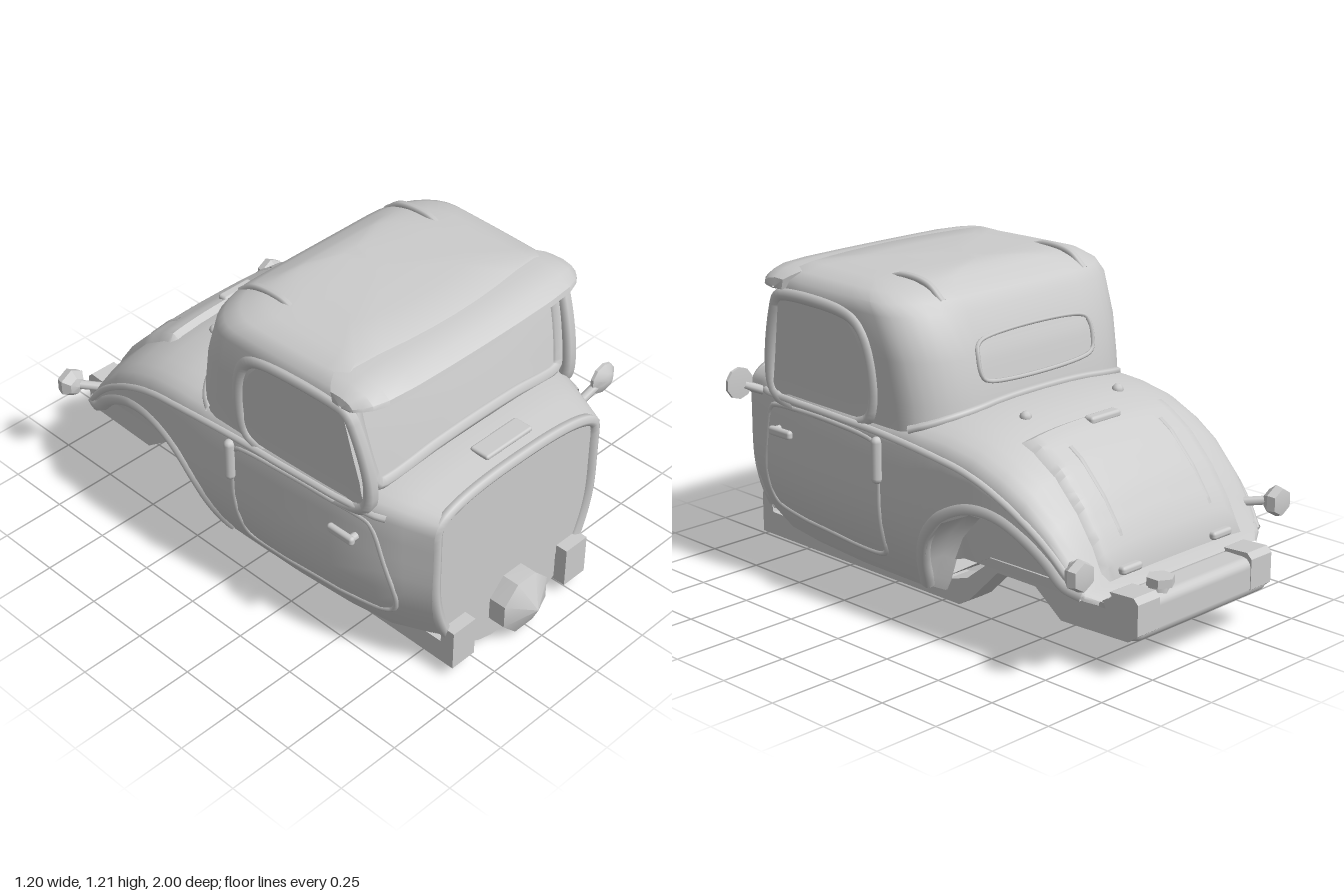
import * as THREE from 'three';
import { toCreasedNormals } from 'three/addons/utils/BufferGeometryUtils.js';
import { RoundedBoxGeometry } from 'three/addons/geometries/RoundedBoxGeometry.js';

const material = new THREE.MeshStandardMaterial({ color: 0xcccccc, side: THREE.DoubleSide });
const V = (x, y, z) => new THREE.Vector3(x, y, z);

// Surface through rows of points
function loft(rows, closed = false) {
  const n = rows[0].length, index = [];
  for (let i = 0; i < rows.length - 1; i++) {
    for (let j = 0; j < (closed ? n : n - 1); j++) {
      const k = (j + 1) % n, a = i * n + j, b = a + n, c = (i + 1) * n + k, d = i * n + k;
      index.push(a, b, c, a, c, d);
    }
  }
  const g = new THREE.BufferGeometry().setFromPoints(rows.flat());
  g.setIndex(index);
  return toCreasedNormals(g, 0.7);
}

// Grid patch f(u, v), u and v in 0..1
function grid(nu, nv, f) {
  return loft(Array.from({ length: nu + 1 }, (_, i) =>
    Array.from({ length: nv + 1 }, (_, j) => f(i / nu, j / nv))));
}

// Tube through [a, b] points, smoothed in 2D and then laid on a surface
function trim(points, map, r, closed = false, steps = 48) {
  const flat = new THREE.CatmullRomCurve3(points.map(([a, b]) => V(a, b, 0)), closed, 'centripetal');
  const pts = flat.getSpacedPoints(steps).map(p => map(p.x, p.y));
  if (closed) pts.pop();
  return new THREE.TubeGeometry(new THREE.CatmullRomCurve3(pts, closed), steps * 2, r, 6, closed);
}

// Linear lookup in a table sorted by its first column
function lookup(table, t, col) {
  const up = table[0][0] < table[1][0] ? 1 : -1;
  let i = 0;
  while (i < table.length - 2 && (t - table[i + 1][0]) * up > 0) i++;
  const p = table[i], q = table[i + 1];
  const f = THREE.MathUtils.clamp((t - p[0]) / (q[0] - p[0]), 0, 1);
  return p[col] + (q[col] - p[col]) * f;
}

// Body stations: z, half width, top, shoulder, lower edge
const BODY = [
  [0.88, 0.42, 0.765, 0.66, 0.17], [0.78, 0.46, 0.785, 0.67, 0.155], [0.68, 0.5, 0.8, 0.68, 0.14],
  [0.5, 0.525, 0.79, 0.68, 0.13], [0.25, 0.54, 0.79, 0.67, 0.12], [0, 0.545, 0.79, 0.66, 0.12],
  [-0.1, 0.545, 0.79, 0.66, 0.12], [-0.12, 0.545, 0.79, 0.66, 0.16], [-0.15, 0.545, 0.79, 0.655, 0.25],
  [-0.19, 0.545, 0.79, 0.65, 0.34], [-0.27, 0.542, 0.785, 0.645, 0.43], [-0.4, 0.535, 0.765, 0.62, 0.49],
  [-0.52, 0.525, 0.72, 0.57, 0.49], [-0.62, 0.512, 0.655, 0.52, 0.45], [-0.72, 0.495, 0.55, 0.44, 0.38],
  [-0.79, 0.48, 0.45, 0.36, 0.31], [-0.85, 0.455, 0.325, 0.295, 0.285], [-0.875, 0.41, 0.285, 0.275, 0.265]];
const N = 2.5;
const tuck = (z, y) => z < -0.4 ? 0 : 0.11 * THREE.MathUtils.clamp((0.45 - y) / 0.33, 0, 1) ** 2;
function bodyX(z, y) {
  const w = lookup(BODY, z, 1), yt = lookup(BODY, z, 2), ys = lookup(BODY, z, 3);
  if (y <= ys) return w - tuck(z, y);
  return w * (1 - Math.min(1, (y - ys) / (yt - ys)) ** N) ** (1 / N);
}
function deckY(x, z) {
  const w = lookup(BODY, z, 1), yt = lookup(BODY, z, 2), ys = lookup(BODY, z, 3);
  return ys + (yt - ys) * (1 - Math.min(1, Math.abs(x) / w) ** N) ** (1 / N);
}
function bodyRow([z, w, yt, ys, yb]) {
  const half = [];
  for (let i = 0; i < 7; i++) {
    const y = yb + (ys - yb) * i / 7;
    half.push(V(w - tuck(z, y), y, z));
  }
  for (let i = 0; i < 9; i++) {
    const a = i / 9 * Math.PI / 2;
    half.push(V(w * Math.cos(a) ** (2 / N), ys + (yt - ys) * Math.sin(a) ** (2 / N), z));
  }
  return [...half, V(0, yt, z), ...half.map(p => V(-p.x, p.y, z)).reverse()];
}

// Cab levels: y, front z, back z, half width
const CAB = [
  [0.62, 0.7, -0.235, 0.525], [0.8, 0.675, -0.22, 0.53], [0.95, 0.64, -0.19, 0.54],
  [1.1, 0.6, -0.135, 0.55], [1.14, 0.595, -0.105, 0.538], [1.17, 0.59, -0.06, 0.5],
  [1.19, 0.56, -0.01, 0.43], [1.205, 0.42, 0.02, 0.28], [1.212, 0.25, 0.08, 0.05], [1.212, 0.16, 0.16, 0]];
const narrow = z => 1 - 0.1 * Math.max(0, z) ** 2;
const cabX = (z, y) => lookup(CAB, y, 3) * narrow(z);
const cabFront = (x, y) => lookup(CAB, y, 1) - 0.05 * (x / lookup(CAB, y, 3)) ** 2;
function cabBack(x, y) {
  const hw = lookup(CAB, y, 3), rx = hw * 0.48;
  const t = Math.max(0, Math.abs(x) - hw + rx) / rx;
  return lookup(CAB, y, 2) + 0.18 * (1 - Math.sqrt(1 - Math.min(1, t * t)));
}
function cabRow([y, front, back, hw]) {
  const rx = hw * 0.48, rz = Math.min(0.18, (front - back) * 0.4), side = [];
  for (let i = 0; i <= 8; i++) {
    const a = i / 8 * Math.PI / 2;
    side.push(V(hw - rx + rx * Math.sin(a), y, back + rz - rz * Math.cos(a)));
  }
  const z0 = back + rz, z1 = front - 0.05 * Math.min(1, hw / 0.5);
  for (let i = 1; i <= 5; i++) {
    const z = z0 + (z1 - z0) * i / 5;
    side.push(V(hw * narrow(z), y, z));
  }
  const fw = hw * narrow(z1), nose = [];
  for (let i = 1; i < 8; i++) {
    const t = 1 - i / 4;
    nose.push(V(fw * t, y, front + (z1 - front) * t * t));
  }
  return [...side, ...nose, ...side.map(p => V(-p.x, p.y, p.z)).reverse()];
}

export function createModel() {
  const model = new THREE.Group(), car = new THREE.Group();
  car.name = 'car';
  car.position.x = -0.03;
  model.add(car);
  const add = (name, geo, x = 0, y = 0, z = 0) => {
    const m = new THREE.Mesh(geo, material);
    m.name = name;
    m.position.set(x, y, z);
    car.add(m);
  };
  const box = (w, h, d, r) => new RoundedBoxGeometry(w, h, d, 2, r);
  const rod = (a, b, r) => new THREE.TubeGeometry(new THREE.LineCurve3(a, b), 1, r, 8);

  // Body shell, firewall and its rim
  add('bodyShell', loft(BODY.map(bodyRow)));
  const rim = bodyRow(BODY[0]);
  add('firewall', new THREE.ShapeGeometry(new THREE.Shape(rim.map(p => new THREE.Vector2(p.x, p.y)))), 0, 0, 0.872);
  add('firewallRim', trim(rim.map(p => [p.x * 0.955, p.y - 0.008]), (x, y) => V(x, y, 0.87), 0.022, false, 60));
  add('cowlVent', box(0.23, 0.02, 0.08, 0.009), 0, 0.788, 0.79);
  add('floor', loft([[0.87, 0.17, 0.35], [0.6, 0.15, 0.41], [-0.1, 0.14, 0.43], [-0.1, 0.14, 0.36], [-0.32, 0.27, 0.36],
    [-0.87, 0.275, 0.36]].map(([z, y, w]) => [V(-w, y, z), V(w, y, z)])));

  // Cab, sun visor, windscreen and rear window
  add('cab', loft(CAB.map(cabRow), true));
  const visorProfile = [[0.71, 1.12], [0.705, 1.14], [0.66, 1.172], [0.58, 1.188], [0.48, 1.185], [0.5, 1.1], [0.61, 1.095], [0.68, 1.105]];
  add('visor', loft([-1, -0.99, -0.95, -0.9, -0.8, -0.6, -0.3, 0, 0.3, 0.6, 0.8, 0.9, 0.95, 0.99, 1].map(t => {
    const s = Math.abs(t) === 1 ? 0.05 : 1 - 0.62 * Math.abs(t) ** 10;
    return visorProfile.map(([z, y]) => V(t * 0.55, 1.11 + (y - 1.11) * s, 0.59 + (z - 0.59) * s - 0.015 * t * t));
  }), true));
  const sill = x => 0.785 + 0.045 * (1 - (x / 0.45) ** 2);
  add('windscreen', grid(4, 10, (u, v) => {
    const x = (v - 0.5) * 0.92, y = 1.095 - (1.095 - sill(x)) * u;
    return V(x, y, cabFront(x, y) + 0.005);
  }));
  add('windscreenFrame', trim([[-0.44, 0.775], [-0.2, 0.81], [0, 0.82], [0.2, 0.81], [0.44, 0.775], [0.455, 0.79],
    [0.48, 1.08], [0.465, 1.1], [-0.465, 1.1], [-0.48, 1.08], [-0.455, 0.79]],
  (x, y) => V(x, y, cabFront(x, y)), 0.026, true, 64));
  const onBack = (x, y) => V(x, y, cabBack(x, y) - 0.003);
  add('rearWindow', grid(4, 12, (u, v) => onBack((0.5 - v) * 0.54, 0.87 + u * 0.12)));
  add('rearWindowFrame', trim([[-0.28, 0.88], [-0.25, 0.86], [0.25, 0.86], [0.28, 0.88], [0.28, 0.98], [0.25, 1],
    [-0.25, 1], [-0.28, 0.98]], onBack, 0.008, true));
  add('cabBaseMoulding', trim([[-0.52, 0], [0, 0], [0.52, 0]], x => {
    const z = cabBack(x, 0.78);
    return V(x, deckY(x, z) + 0.002, z);
  }, 0.016, false, 40));

  // Wheel arch line taken from the rear body stations
  const arch = BODY.slice(6, -1);
  const railShape = new THREE.Shape([[0.92, 0.05], [-0.16, 0.05], [-0.21, 0.08], [-0.35, 0.22], [-0.53, 0.22],
    [-0.65, 0.13], [-0.95, 0.14], [-0.99, 0.17], [-0.99, 0.28], [-0.97, 0.3], [-0.87, 0.295], [-0.8, 0.275], [-0.36, 0.285],
    [-0.2, 0.16], [-0.1, 0.13], [0.86, 0.14], [0.87, 0.21], [0.92, 0.21]].map(p => new THREE.Vector2(...p)));
  const rail = new THREE.ExtrudeGeometry(railShape, { depth: 0.11, bevelEnabled: false }).rotateY(-Math.PI / 2);

  for (const s of [-1, 1]) {
    const onSide = (z, y) => V(s * (bodyX(z, y) - 0.004), y, z);
    const onCab = (z, y) => V(s * (cabX(z, y) + 0.003), y, z);
    const inCab = (z, y) => V(s * (cabX(z, y) - 0.01), y, z);

    // Door, side window and hardware
    add('doorSeam', trim([[0.655, 0.645], [0.675, 0.62], [0.71, 0.5], [0.74, 0.39], [0.745, 0.32], [0.725, 0.265],
      [0.66, 0.24], [0.4, 0.22], [0.1, 0.21], [0.06, 0.23], [0.05, 0.28], [0.05, 0.62], [0.07, 0.645]],
    (z, y) => V(s * (bodyX(z, y) - 0.006), y, z), 0.012, true, 72));
    add('sideWindow', grid(6, 6, (u, v) => {
      const y = 0.71 + v * 0.36, zf = 0.645 - 0.075 * v, zb = 0.1 + 0.1 * v ** 4;
      return onCab(zf + (zb - zf) * u, y);
    }));
    add('sideWindowFrame', trim([[0.645, 0.705], [0.59, 1.06], [0.565, 1.08], [0.2, 1.08], [0.13, 1.045], [0.085, 0.95],
      [0.08, 0.77], [0.12, 0.705]], inCab, 0.026, true));
    add('doorHinge', new THREE.CapsuleGeometry(0.021, 0.13, 4, 8), s * 0.551, 0.585, 0.04);
    add('doorHandle', box(0.025, 0.035, 0.12, 0.012), s * 0.54, 0.565, 0.57);
    add('handleStem', rod(V(s * 0.51, 0.565, 0.61), V(s * 0.545, 0.565, 0.61), 0.015));

    // Belt and fender moulding, arch flare and inner wheel well
    add('beltMoulding', trim([[0.72, 0.685], [0.4, 0.69], [0, 0.68], [-0.25, 0.655], [-0.4, 0.625], [-0.55, 0.56],
      [-0.7, 0.455], [-0.8, 0.35], [-0.84, 0.3]], onSide, 0.014));
    add('archFlare', trim(arch.map(r => [r[0] + 0.015, r[4] + 0.018]), (z, y) => V(s * (bodyX(z, y) - 0.016), y, z), 0.028));
    add('wheelWell', loft(arch.map(([z, w, , , yb]) =>
      [V(s * (w - tuck(z, yb)), yb, z), V(s * 0.42, yb, z), V(s * 0.36, yb - 0.03, z), V(s * 0.35, Math.min(yb - 0.03, 0.23), z)])));

    // Chassis rail, rear lamp and raised ribs
    add('chassisRail', rail, s > 0 ? 0.35 : -0.24);
    add('lampStem', rod(V(s * 0.43, 0.39, -0.77), V(s * 0.51, 0.4, -0.86), 0.017));
    const lamp = new THREE.LatheGeometry([[0, 0.04], [0.035, 0.03], [0.058, 0], [0.05, -0.03], [0, -0.038]]
      .map(p => new THREE.Vector2(...p)), 6).rotateX(Math.PI / 2);
    add('rearLamp', toCreasedNormals(lamp, 0.4), s * 0.515, 0.4, -0.875);
    add('roofRib', trim([[0.17, 1.18], [0.1, 1.198], [-0.02, 1.185], [-0.09, 1.135]], (z, y) => V(s * 0.355, y, z), 0.014));
    add('lidRib', trim([[-0.57, 0], [-0.7, 0], [-0.8, 0]], z => V(s * 0.23, deckY(0.23, z) + 0.016, z), 0.013));
    add('lidHinge', box(0.1, 0.03, 0.04, 0.012), s * 0.235, 0.345, -0.85);
    add('deckStud', new THREE.SphereGeometry(0.022, 8, 6), s * 0.235, deckY(0.235, -0.37), -0.37);
  }

  // Luggage lid with turned-down edges
  add('luggageLid', grid(18, 24, (u, v) => {
    const edge = Math.min(u, 1 - u, v, 1 - v) < 0.001;
    const z = -0.46 - u * 0.395, x = (0.5 - v) * 0.72, lift = edge ? -0.006 : 0.018;
    return V(x, deckY(x, z) + lift, z - lift * 0.6);
  }));
  add('lidHandle', box(0.15, 0.03, 0.045, 0.012), 0, deckY(0, -0.51) + 0.02, -0.51);

  // Rear tank and filler cap
  add('rearTank', box(0.7, 0.145, 0.14, 0.035), 0, 0.21, -0.917);
  const cap = toCreasedNormals(new THREE.CylinderGeometry(0.05, 0.05, 0.03, 6), 0.4);
  add('fillerCap', cap, 0.19, 0.315, -0.948);
  add('fillerNeck', new THREE.CylinderGeometry(0.035, 0.035, 0.08, 8), 0.19, 0.27, -0.94);

  // Front apron, gearbox nose and shaft
  const apron = new THREE.Shape([[-0.35, 0.19], [-0.25, 0.07], [-0.16, 0.02], [-0.09, 0], [0.09, 0], [0.16, 0.02],
    [0.25, 0.07], [0.35, 0.19]].map(p => new THREE.Vector2(...p)));
  add('frontApron', new THREE.ExtrudeGeometry(apron, { depth: 0.05, bevelEnabled: false }), 0, 0, 0.82);
  const nose = new THREE.LatheGeometry([[0, -0.24], [0.07, -0.22], [0.11, -0.15], [0.12, -0.04], [0.12, 0.02], [0, 0.08]]
    .map(p => new THREE.Vector2(...p)), 8).rotateX(Math.PI / 2).rotateZ(Math.PI / 8);
  add('gearboxNose', toCreasedNormals(nose, 0.4), 0, 0.14, 0.92);
  add('shaft', rod(V(0, 0.13, 0.75), V(0.02, 0.11, 0.08), 0.02));
  add('shaftEnd', new THREE.SphereGeometry(0.028, 8, 6), 0.02, 0.11, 0.08);

  // Wing mirror on the left side only
  add('mirrorArm', rod(V(0.46, 0.67, 0.755), V(0.55, 0.71, 0.765), 0.017));
  const mirror = new THREE.LatheGeometry([[0, -0.016], [0.06, -0.012], [0.06, 0], [0.03, 0.02], [0, 0.025]]
    .map(p => new THREE.Vector2(...p)), 10).rotateX(Math.PI / 2);
  add('mirror', toCreasedNormals(mirror, 0.5), 0.57, 0.72, 0.768);
  return model;
}
